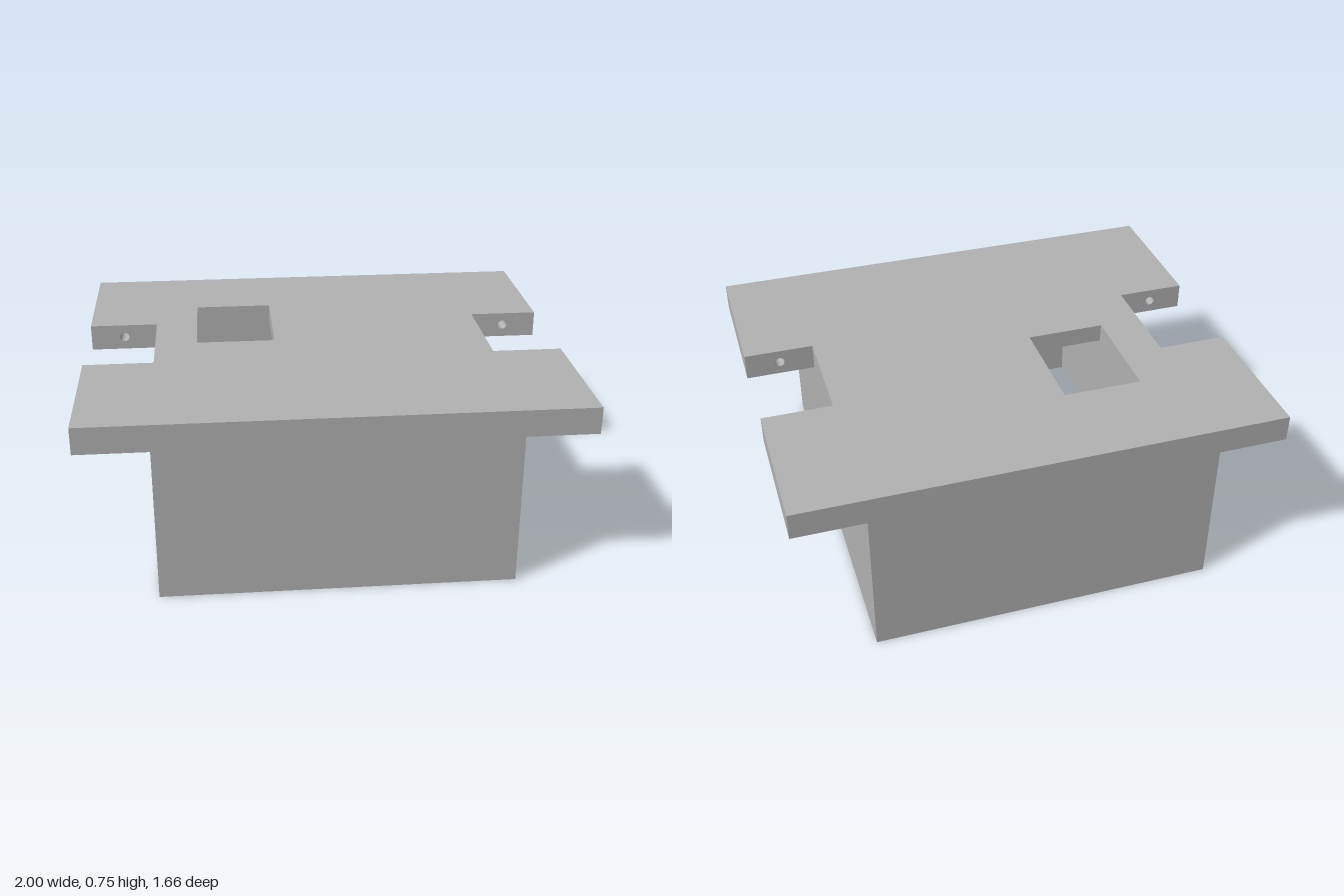
import * as THREE from 'three';

const grey = new THREE.MeshStandardMaterial({ color: 0xb2b2b2 });
grey.name = 'plain grey';

// Rectangle path from corner to corner
function rect(Path, x0, y0, x1, y1) {
  return new Path([[x0, y0], [x1, y0], [x1, y1], [x0, y1]].map(p => new THREE.Vector2(...p)));
}

function roundHole(x, y, r) {
  return new THREE.Path().absarc(x, y, r, 0, Math.PI * 2, true);
}

const extrude = (shape, depth) =>
  new THREE.ExtrudeGeometry(shape, { depth, bevelEnabled: false, curveSegments: 16 });

// Extrude a plan drawn in x and z between two heights
function slab(shape, bottom, top) {
  return extrude(shape, top - bottom).rotateX(Math.PI / 2).translate(0, top, 0);
}

export function createModel() {
  const group = new THREE.Group();
  const add = (name, geometry, x = 0, y = 0, z = 0) => {
    const mesh = new THREE.Mesh(geometry, grey);
    mesh.name = name;
    mesh.position.set(x, y, z);
    group.add(mesh);
  };

  const W = 0.71, D = 0.83, top = 0.745, ceiling = 0.667, flangeBottom = 0.635;
  const wall = 0.06, notch = 0.225, boreDepth = 0.3;

  // Hollow body, open below, with a screw hole in each corner of the rim
  const walls = rect(THREE.Shape, -W, -D, W, D);
  walls.holes.push(rect(THREE.Path, -W + wall, -D + wall, W - wall, D - wall));
  for (const sx of [-1, 1])
    for (const sz of [-1, 1])
      walls.holes.push(roundHole(sx * (W - wall / 2), sz * (D - wall / 2), 0.011));
  add('bodyWalls', slab(walls, 0, ceiling));

  // Lid with a rectangular opening
  const lid = rect(THREE.Shape, -W, -D, W, D);
  lid.holes.push(rect(THREE.Path, -0.53, -0.43, -0.2, 0.015));
  add('lid', slab(lid, ceiling, top));

  // Four side flanges, each bored from the face beside the notch
  const flangeW = 1 - W, flangeH = top - flangeBottom;
  const section = rect(THREE.Shape, -flangeW / 2, -flangeH / 2, flangeW / 2, flangeH / 2);
  section.holes.push(roundHole(0, 0, 0.02));
  const bored = extrude(section, boreDepth).translate(0, 0, -boreDepth / 2);
  const solidDepth = D - notch - boreDepth;
  const solid = new THREE.BoxGeometry(flangeW, flangeH, solidDepth);
  const y = (top + flangeBottom) / 2;
  for (const sx of [-1, 1]) {
    for (const sz of [-1, 1]) {
      const x = sx * (W + flangeW / 2);
      add('flangeInner', bored, x, y, sz * (notch + boreDepth / 2));
      add('flangeOuter', solid, x, y, sz * (D - solidDepth / 2));
    }
  }

  // Short post hanging from the ceiling
  add('ceilingPost', new THREE.BoxGeometry(0.12, 0.24, 0.215), -0.4, ceiling - 0.12, 0.4675);

  return group;
}
